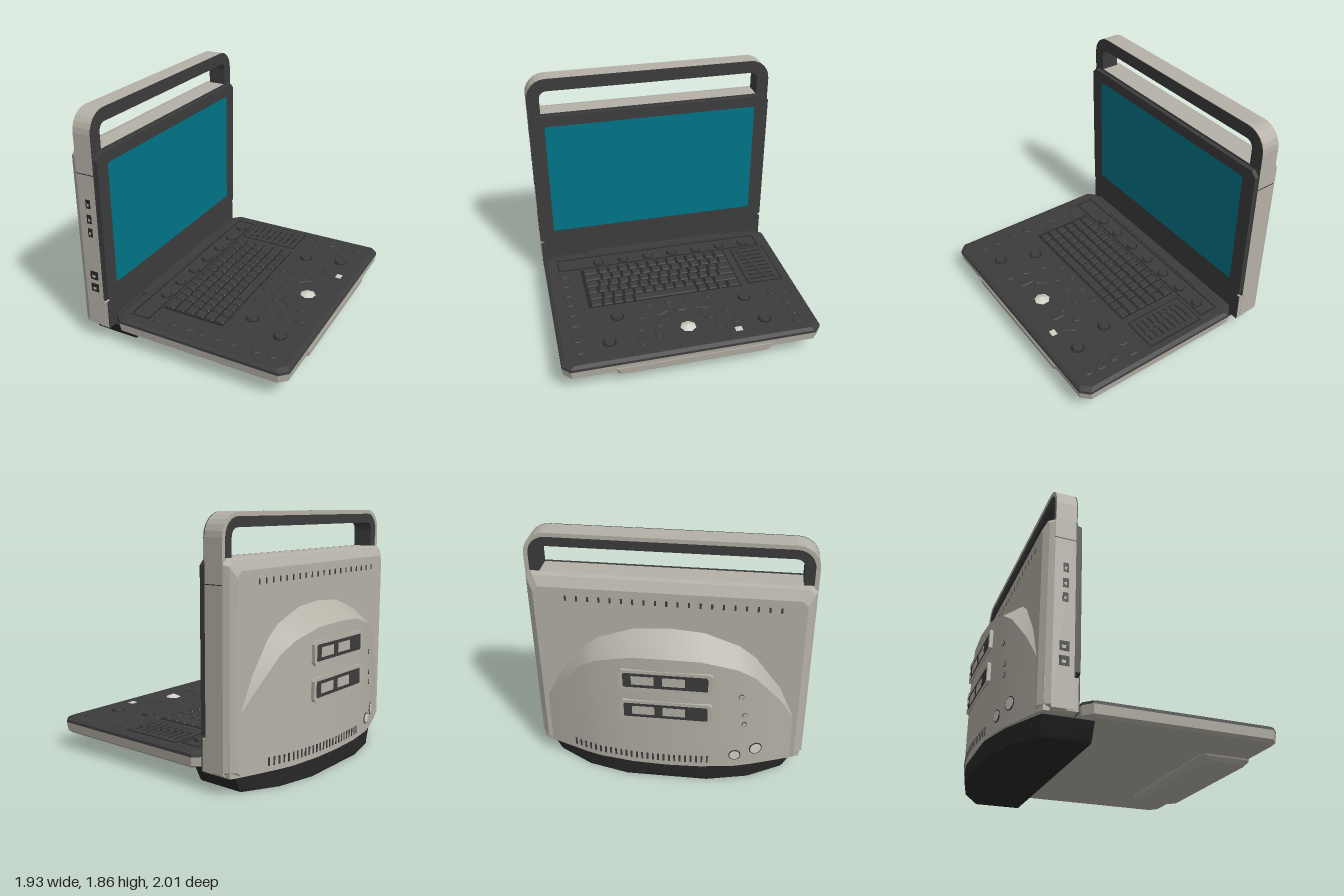
import * as THREE from 'three';
import { toCreasedNormals } from 'three/addons/utils/BufferGeometryUtils.js';

const mat = (name, color) => {
  const m = new THREE.MeshStandardMaterial({ color });
  m.name = name;
  return m;
};

export function createModel() {
  const shell = mat('warm grey shell', 0xb5b1a7);
  const dark = mat('charcoal', 0x3c3c3c);
  const black = mat('black', 0x282828);
  const teal = mat('teal screen', 0x007587);
  const pale = mat('pale grey', 0xd2cfc6);

  const model = new THREE.Group();
  const groups = {};
  const add = (group, name, geo, m) => {
    if (!groups[group]) {
      groups[group] = new THREE.Group();
      groups[group].name = group;
      model.add(groups[group]);
    }
    const mesh = new THREE.Mesh(geo, m);
    mesh.name = name;
    groups[group].add(mesh);
    return mesh;
  };
  // box given by its limits
  const box = (group, name, m, x0, x1, y0, y1, z0, z1) => {
    const g = new THREE.BoxGeometry(x1 - x0, y1 - y0, z1 - z0);
    g.translate((x0 + x1) / 2, (y0 + y1) / 2, (z0 + z1) / 2);
    return add(group, name, g, m);
  };
  // skin through equal-length convex rings, capped at both ends
  const loft = (rings, crease = 0.3) => {
    const n = rings[0].length, idx = [];
    for (let r = 0; r < rings.length - 1; r++)
      for (let i = 0; i < n; i++) {
        const a = r * n + i, b = r * n + (i + 1) % n;
        idx.push(a, b, b + n, a, b + n, a + n);
      }
    const last = (rings.length - 1) * n;
    for (let i = 1; i < n - 1; i++) idx.push(0, i + 1, i, last, last + i, last + i + 1);
    const g = new THREE.BufferGeometry();
    g.setAttribute('position', new THREE.Float32BufferAttribute(rings.flat(2), 3));
    g.setIndex(idx);
    return toCreasedNormals(g, crease);
  };
  // rectangle with cut corners
  const cut = (a0, a1, b0, b1, c) => [[a0, b0 + c], [a0, b1 - c], [a0 + c, b1], [a1 - c, b1],
    [a1, b1 - c], [a1, b0 + c], [a1 - c, b0], [a0 + c, b0]];
  const flat = (y, pts) => pts.map(([x, z]) => [x, y, z]);
  const upright = (x, pts) => pts.map(([z, y]) => [x, y, z]);
  // outline in the z-y plane, extruded along x
  const slab = (pts, x0, x1, hole) => {
    const s = new THREE.Shape(pts.map(p => new THREE.Vector2(...p)));
    if (hole) s.holes.push(new THREE.Path(hole.map(p => new THREE.Vector2(...p))));
    const g = new THREE.ExtrudeGeometry(s, { depth: x1 - x0, bevelEnabled: false });
    return g.rotateY(Math.PI / 2).translate(x0, 0, 0);
  };

  // Foot
  const footRing = (y, w, x) => flat(y, [[x, -0.3], [x, 0.3], [-0.87, 0.6], [-0.73, w], [-0.38, w],
    [-0.38, -w], [-0.73, -w], [-0.87, -0.6]]);
  add('stand', 'foot', loft([footRing(0, 0.85, -0.94), footRing(0.02, 0.865, -0.945), footRing(0.13, 0.92, -0.945)]), black);

  // Monitor body
  add('monitor', 'body', slab(cut(-1, 1, 0.13, 1.57, 0.02), -0.7, -0.55), shell);
  add('monitor', 'bodyFront', slab(cut(-1, 1, 0.36, 1.57, 0.02), -0.55, -0.542), dark);
  box('monitor', 'lowerBody', shell, -0.6, -0.52, 0.14, 0.37, -0.998, 0.998);
  box('monitor', 'lowerFront', dark, -0.52, -0.512, 0.14, 0.375, -0.998, 0.998);
  add('monitor', 'bezel', slab(cut(-0.997, 0.997, 0.37, 1.56, 0.04), -0.545, -0.508,
    cut(-0.88, 0.88, 0.49, 1.47, 0.01)), dark);
  box('monitor', 'screen', teal, -0.541, -0.515, 0.485, 1.475, -0.885, 0.885);
  add('monitor', 'backPanel', loft([upright(-0.775, cut(-0.94, 0.94, 0.13, 1.49, 0.04)),
    upright(-0.74, cut(-0.98, 0.98, 0.13, 1.56, 0.04)), upright(-0.7, cut(-1, 1, 0.13, 1.57, 0.04))]), shell);
  for (const s of [-1, 1]) box('monitor', 'sideSeam', black, -0.7, -0.545, 1.398, 1.403, s - 0.002, s + 0.002);

  // Carrying handle: light outside, dark liner, front and back
  const arch = (w, top, r) => {
    const p = [[-w, 1.55]];
    for (let i = 0; i <= 6; i++) {
      const t = Math.PI / 2 * i / 6;
      p.push([-w + r - r * Math.cos(t), top - r + r * Math.sin(t)]);
    }
    return [...p, ...p.map(([z, y]) => [-z, y]).reverse()];
  };
  const band = (outer, inner, x0, x1) => slab([...outer, ...inner.slice().reverse()], x0, x1);
  const outer = arch(1, 1.86, 0.16), middle = arch(0.97, 1.83, 0.13), inner = arch(0.9, 1.76, 0.06);
  add('handle', 'handleShell', band(outer, middle, -0.698, -0.55), shell);
  add('handle', 'handleLiner', band(middle, inner, -0.694, -0.55), dark);
  add('handle', 'handleFront', band(outer, inner, -0.55, -0.543), dark);

  // Rear hump: half width, depth, ridge height, height where it meets the panel
  const half = [[0, 0.96, 1.08, 1.22], [0.25, 0.95, 1.07, 1.2], [0.5, 0.915, 1, 1.11],
    [0.62, 0.88, 0.92, 1.02], [0.8, 0.815, 0.7, 0.78], [0.92, 0.77, 0.5, 0.55], [0.98, 0.742, 0.34, 0.38]];
  const hump = [...half.slice(1).reverse().map(([z, ...r]) => [-z, ...r]), ...half];
  add('monitor', 'rearHump', loft(hump.map(([z, d, yr, yt]) => {
    const p = -Math.min(0.77, d);
    return [[-0.69, 0.13, z], [-0.69, yt, z], [p, yt, z], [-d, yr, z], [-d, 0.13, z]];
  }), 0.45), shell);
  // place a part on the hump's back wall, its local -x facing outward
  const onHump = (mesh, y, z) => {
    const i = Math.max(1, hump.findIndex(h => h[0] >= z)), [a, b] = [hump[i - 1], hump[i]];
    const t = (z - a[0]) / (b[0] - a[0]);
    mesh.position.set(-(a[1] + t * (b[1] - a[1])), y, z);
    mesh.rotation.y = Math.atan2(a[1] - b[1], b[0] - a[0]);
  };
  // Rear connector bays
  for (const y of [0.89, 0.63]) {
    add('rearDetails', 'bayFrame', slab(cut(-0.33, 0.33, y - 0.085, y + 0.085, 0.02), -0.964, -0.93,
      cut(-0.3, 0.3, y - 0.06, y + 0.06, 0.01)), shell);
    box('rearDetails', 'bayFloor', dark, -0.962, -0.94, y - 0.06, y + 0.06, -0.3, 0.3);
    for (const z of [-0.24, -0.02]) box('rearDetails', 'bayConnector', shell, -0.964, -0.95, y - 0.035, y + 0.035, z, z + 0.16);
  }
  // Rear vents and sockets
  for (let i = 0; i < 26; i++)
    onHump(add('rearDetails', 'ventSlot', new THREE.BoxGeometry(0.006, 0.06, 0.014), dark), 0.2, -0.7 + i * 0.04);
  for (let i = 0; i < 20; i++) {
    const z = -0.72 + i * 0.078;
    box('rearDetails', 'upperVent', dark, -0.777, -0.77, 1.39, 1.43, z, z + 0.014);
  }
  for (const [y, z, r] of [[0.24, 0.5, 0.045], [0.28, 0.65, 0.05], [0.52, 0.56, 0.02], [0.6, 0.56, 0.02], [0.77, 0.53, 0.02]]) {
    const ring = new THREE.CylinderGeometry(r, r, 0.01, 12).rotateZ(Math.PI / 2);
    const face = new THREE.CylinderGeometry(r * 0.85, r * 0.85, 0.014, 12).rotateZ(Math.PI / 2);
    onHump(add('rearDetails', 'socketRing', ring, dark), y, z);
    onHump(add('rearDetails', 'socketFace', face, r > 0.03 ? pale : shell), y, z);
  }
  // Side ports
  for (const y of [1.17, 1.05, 0.94, 0.58, 0.475]) {
    const w = y < 0.7 ? 0.034 : 0.02;
    box('sidePorts', 'portPlate', black, -0.62 - w, -0.62 + w, y - 0.035, y + 0.035, 0.99, 1.002);
    box('sidePorts', 'portTongue', shell, -0.62 - w * 0.5, -0.62 + w * 0.3, y - 0.018, y + 0.004, 0.995, 1.004);
  }

  // Hinge
  box('hinge', 'hingeBar', dark, -0.52, -0.45, 0.13, 0.22, -0.91, 0.91);
  box('hinge', 'hingeCover', dark, -0.48, -0.4, 0.2, 0.258, -0.6, 0.6);

  // Control deck
  const deck = (y, d) => flat(y, cut(-0.48 + d, 0.96 - d, -1 + d, 1 - d, 0.06));
  add('deck', 'deckTray', loft([deck(0.13, 0.03), deck(0.15, 0.008), deck(0.215, 0)]), shell);
  add('deck', 'deckTop', loft([deck(0.215, 0), deck(0.235, 0.002), deck(0.25, 0.03)]), dark);
  add('deck', 'palmLip', loft([flat(0.09, cut(0.6, 0.925, -0.58, 0.58, 0.04)),
    flat(0.12, cut(0.55, 0.955, -0.61, 0.61, 0.04)), flat(0.18, cut(0.53, 0.962, -0.64, 0.64, 0.04))]), shell);

  // Knobs
  const knob = (x, z, r) => {
    add('knobs', 'knobSkirt', new THREE.CylinderGeometry(r * 1.1, r * 1.15, 0.008, 12).translate(x, 0.25, z), black);
    add('knobs', 'knob', new THREE.CylinderGeometry(r * 0.85, r, 0.025, 10).translate(x, 0.254, z), dark);
  };
  const strip = [[-0.385, -0.375, -0.88, 0.88], [-0.235, -0.225, -0.88, 0.88], [-0.385, -0.225, -0.89, -0.88], [-0.385, -0.225, 0.88, 0.89]];
  for (const [x0, x1, z0, z1] of strip) box('deck', 'knobStripEdge', black, x0, x1, 0.248, 0.253, z0, z1);
  for (let i = 0; i < 7; i++) knob(-0.29, -0.76 + i * 0.217, 0.042);
  for (const [x, z] of [[0.46, -0.53], [0.75, -0.6], [0.46, 0.51], [0.74, 0.62]]) knob(x, z, 0.048);

  // Slider bank
  box('sliders', 'sliderFrame', black, -0.2, 0.3, 0.245, 0.2525, -0.92, -0.62);
  box('sliders', 'sliderPanel', dark, -0.19, 0.29, 0.245, 0.254, -0.91, -0.63);
  for (let i = 0; i < 8; i++) {
    const x = -0.14 + i * 0.055, z = -0.69 - (i * 0.016);
    box('sliders', 'sliderTrack', black, x - 0.006, x + 0.006, 0.25, 0.256, -0.87, -0.66);
    box('sliders', 'sliderCap', dark, x - 0.014, x + 0.014, 0.25, 0.266, z - 0.02, z + 0.02);
  }

  // Keyboard: six columns of staggered keys
  box('keyboard', 'keyBed', black, -0.205, 0.31, 0.245, 0.253, -0.56, 0.71);
  const key = (x, z0, z1) => add('keyboard', 'key', loft([flat(0.25, cut(x, x + 0.072, z0, z1, 0.004)),
    flat(0.264, cut(x + 0.007, x + 0.065, z0 + 0.007, z1 - 0.007, 0.004))]), dark);
  const first = [0.1, 0.085, 0.12, 0.14, 0.2, 0.11];
  for (let c = 0; c < 6; c++) {
    const x = -0.198 + c * 0.0855;
    let z = -0.55, w = first[c];
    while (z < 0.68) {
      if (c === 5 && z > -0.2 && z < 0.2) w = 0.53;
      let end = z + w;
      if (end > 0.63) end = 0.7;
      key(x, z, end - 0.012);
      z = end;
      w = 0.085;
    }
  }

  // Buttons: x, z, length, width, turn
  const buttons = [[0.44, -0.88, 0.08, 0.05, 0], [0.44, -0.76, 0.08, 0.05, 0], [0.58, -0.84, 0.08, 0.05, 0.4],
    [0.71, -0.85, 0.08, 0.06, 0], [0.82, -0.84, 0.08, 0.06, 0], [0.58, -0.34, 0.09, 0.06, 0.5],
    [0.37, -0.24, 0.06, 0.06, 0], [0.37, -0.08, 0.06, 0.06, 0], [0.37, 0.08, 0.06, 0.06, 0], [0.37, 0.24, 0.06, 0.06, 0],
    [0.49, -0.16, 0.12, 0.05, 1.2], [0.48, 0, 0.1, 0.05, 1.57], [0.49, 0.16, 0.12, 0.05, -1.2],
    [0.6, -0.17, 0.14, 0.05, 0.7], [0.6, 0.18, 0.14, 0.05, -0.7], [0.7, -0.24, 0.14, 0.05, 0], [0.7, 0.24, 0.14, 0.05, 0],
    [0.5, 0.33, 0.08, 0.06, 0], [0.64, 0.36, 0.09, 0.06, -0.5], [0.79, 0.38, 0.08, 0.06, 0], [0.7, -0.4, 0.12, 0.05, -0.7],
    ...[-0.16, -0.03, 0.1, 0.22, 0.35, 0.48, 0.66, 0.79].map(x => [x, 0.85, 0.075, 0.09, 0])];
  for (const [x, z, l, w, turn] of buttons) {
    const c = Math.min(l, w) * 0.35, ring = (y, d) => flat(y, cut(-l / 2 + d, l / 2 - d, -w / 2 + d, w / 2 - d, c));
    const b = add('buttons', 'button', loft([ring(0.248, 0), ring(0.254, 0), ring(0.258, 0.006)]), dark);
    b.position.set(x, 0, z);
    b.rotation.y = turn;
  }

  // Trackball and indicator
  add('trackball', 'ball', new THREE.ConeGeometry(0.07, 0.03, 7).translate(0.7, 0.262, 0), pale);
  box('deck', 'indicator', pale, 0.8, 0.845, 0.25, 0.256, -0.395, -0.34);

  return model;
}
